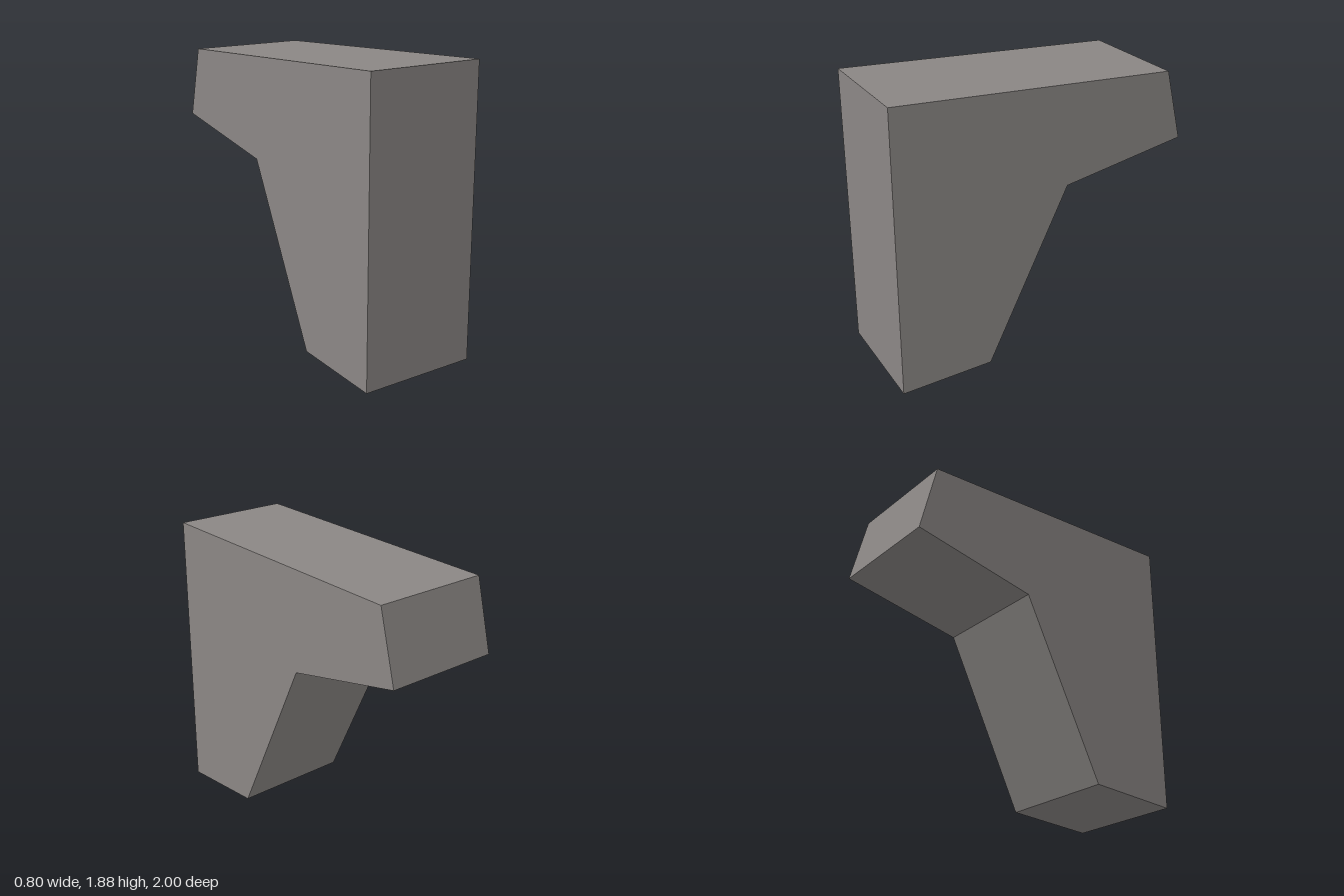
import * as THREE from 'three';

export function createModel() {
  const group = new THREE.Group();
  const stone = new THREE.MeshStandardMaterial({ color: 0x8b8785 });
  stone.name = 'warm grey stone';

  // Side profile as (z, y), counter-clockwise once z is mirrored
  const profile = [
    [1, 0], [0.39, 0.04], [-0.16, 1.175], [-1, 1.34], [-0.885, 1.805], [1, 1.885],
  ];
  const width = 0.8;
  const shape = new THREE.Shape(profile.map(([z, y]) => new THREE.Vector2(-z, y)));
  const geometry = new THREE.ExtrudeGeometry(shape, { depth: width, bevelEnabled: false });
  geometry.translate(0, 0, -width / 2);
  geometry.rotateY(Math.PI / 2); // extrusion runs along x

  const bracket = new THREE.Mesh(geometry, stone);
  bracket.name = 'corbelBlock';
  group.add(bracket);
  return group;
}
